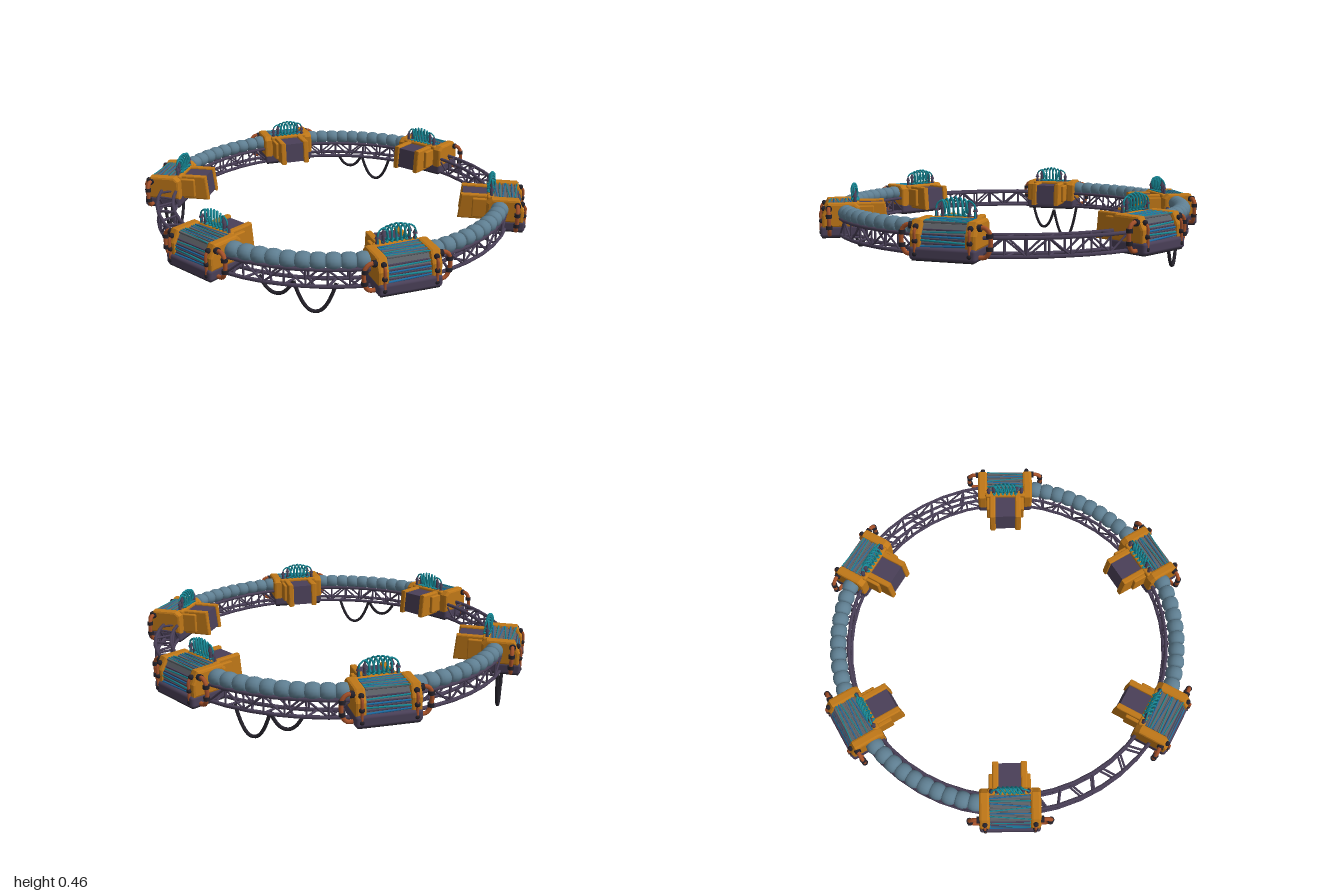
import * as THREE from 'three';
import { RoundedBoxGeometry } from 'three/addons/geometries/RoundedBoxGeometry.js';

const mat = (color) => new THREE.MeshStandardMaterial({ color });
const M = {
  orange: mat(0xc07818), purple: mat(0x4a4058), dark: mat(0x25222b), grey: mat(0x5e6268),
  pod: mat(0x5f7f92), teal: mat(0x178a98), blue: mat(0x1c6ea8), rust: mat(0xa8522a),
};
const V = (x, y, z) => new THREE.Vector3(x, y, z);
const rad = THREE.MathUtils.degToRad;
// point on the ring: angle in degrees from the front, radius, height
const polar = (a, r, y) => V(r * Math.sin(rad(a)), y, r * Math.cos(rad(a)));

function add(parent, name, geo, material, x = 0, y = 0, z = 0) {
  const m = new THREE.Mesh(geo, material);
  m.name = name;
  m.position.set(x, y, z);
  parent.add(m);
  return m;
}
const box = (w, h, d, r = 0.01) => new RoundedBoxGeometry(w, h, d, 2, r);

function rod(parent, name, a, b, r, material, sides = 6) {
  const m = add(parent, name, new THREE.CylinderGeometry(r, r, a.distanceTo(b), sides), material);
  m.position.copy(a).lerp(b, 0.5);
  m.quaternion.setFromUnitVectors(V(0, 1, 0), b.clone().sub(a).normalize());
}
function tube(parent, name, pts, r, material, seg = 24) {
  add(parent, name, new THREE.TubeGeometry(new THREE.CatmullRomCurve3(pts), seg, r, 7), material);
}
// (z, y) profile extruded along x, with a soft bevel
function slab(parent, name, profile, width, x, material, bevel = 0.008) {
  const g = new THREE.ExtrudeGeometry(new THREE.Shape(profile.map(([z, y]) => new THREE.Vector2(z, y))), {
    depth: width - 2 * bevel, bevelEnabled: true, bevelSize: bevel, bevelThickness: bevel,
    bevelOffset: -bevel, bevelSegments: 2,
  });
  g.rotateY(-Math.PI / 2);
  g.translate(width / 2 - bevel, 0, 0);
  add(parent, name, g, material, x);
}

// One station of the ring, built at the front and facing outward (+z)
function station() {
  const g = new THREE.Group();
  g.name = 'station';

  // base and underside
  add(g, 'base', box(0.3, 0.056, 0.195, 0.014), M.purple, 0, 0.233, 0.897);
  add(g, 'basePlate', box(0.28, 0.014, 0.18, 0.004), M.dark, 0, 0.207, 0.897);

  // housing: end caps, inner wall and recessed core
  const cap = [[0.8, 0.25], [0.985, 0.25], [0.985, 0.315], [0.955, 0.372], [0.825, 0.372], [0.8, 0.35]];
  const core = [[0.81, 0.22], [0.982, 0.22], [0.972, 0.31], [0.945, 0.355], [0.82, 0.36]];
  for (const s of [-1, 1]) slab(g, 'housingEnd', cap, 0.052, s * 0.124, M.orange, 0.012);
  slab(g, 'housingCore', core, 0.22, 0, M.grey, 0.004);
  add(g, 'innerWall', box(0.22, 0.118, 0.035), M.orange, 0, 0.311, 0.818);

  // slats and cables across the roof and the outer face
  for (let i = 0; i < 6; i++) {
    add(g, 'roofSlat', box(0.196, 0.01, 0.013, 0.003), M.grey, 0, 0.362, 0.846 + i * 0.02);
    const z = 0.845 + i * 0.02, t = (i % 3 - 1) * 0.008;
    rod(g, 'roofCable', V(-0.1, 0.367, z - t), V(0.1, 0.367, z + t), 0.003, i % 2 ? M.teal : M.blue);
  }
  for (let i = 0; i < 6; i++) {
    const y = 0.228 + i * 0.019, z = i < 5 ? 0.984 - i * 0.003 : 0.962;
    const t = (i % 3 - 1) * 0.004;
    rod(g, 'faceCable', V(-0.1, y - t, z), V(0.1, y + t, z), 0.005, i % 2 ? M.teal : M.blue);
    add(g, 'faceSlat', box(0.19, 0.007, 0.008, 0.002), M.purple, 0, y + 0.009, z - 0.002);
  }

  // inward dock: two cheeks around a dark centre
  const cheek = [[0.82, 0.235], [0.66, 0.235], [0.672, 0.365], [0.82, 0.365]];
  const centre = [[0.82, 0.245], [0.668, 0.245], [0.68, 0.355], [0.82, 0.355]];
  slab(g, 'dockCentre', centre, 0.12, 0, M.purple, 0.003);
  for (const s of [-1, 1]) {
    slab(g, 'dockCheek', cheek, 0.032, s * 0.07, M.orange, 0.007);
    add(g, 'dockShoulder', box(0.025, 0.1, 0.08, 0.006), M.orange, s * 0.09, 0.3, 0.77);
  }

  for (const s of [-1, 1]) {
    // looped side pipe with collars
    tube(g, 'sidePipe', [V(s * 0.135, 0.345, 0.95), V(s * 0.175, 0.347, 0.95), V(s * 0.197, 0.325, 0.95),
      V(s * 0.197, 0.255, 0.95), V(s * 0.178, 0.225, 0.95), V(s * 0.14, 0.222, 0.95)], 0.01, M.rust);
    for (const y of [0.315, 0.26])
      add(g, 'pipeCollar', new THREE.CylinderGeometry(0.015, 0.015, 0.018, 10), M.dark, s * 0.197, y, 0.95);
    rod(g, 'pipeSocket', V(s * 0.145, 0.346, 0.95), V(s * 0.162, 0.346, 0.95), 0.016, M.dark, 10);

    // upright pipe and knobs on the outer face
    tube(g, 'facePipe', [V(s * 0.122, 0.35, 0.965), V(s * 0.122, 0.33, 0.988), V(s * 0.122, 0.29, 0.99),
      V(s * 0.122, 0.235, 0.99)], 0.007, M.rust, 14);
    for (const [y, z] of [[0.345, 0.974], [0.285, 0.987], [0.23, 0.987]])
      add(g, 'knob', new THREE.SphereGeometry(0.013, 10, 8), M.dark, s * 0.122, y, z);

    // antenna posts on the roof
    for (const [x, h] of [[0.062, 0.045], [0.09, 0.03]]) {
      add(g, 'post', new THREE.CylinderGeometry(0.006, 0.009, h, 8), M.purple, s * x, 0.37 + h / 2, 0.822);
      add(g, 'postTip', new THREE.ConeGeometry(0.012, 0.03, 8), M.purple, s * x, 0.38 + h, 0.822);
    }
    tube(g, 'sideCoil', [V(s * 0.09, 0.37, 0.828), V(s * 0.085, 0.425, 0.825), V(s * 0.055, 0.44, 0.82),
      V(s * 0.035, 0.37, 0.815)], 0.004, M.teal);
  }

  // tangled coil along the inner roof edge
  const coil = [];
  for (let i = 0; i <= 48; i++) {
    const t = i / 48, a = t * Math.PI * 12;
    coil.push(V(-0.062 + 0.124 * t + 0.01 * Math.sin(a), 0.415 + 0.04 * Math.cos(a) * (0.6 + 0.4 * Math.sin(Math.PI * t)), 0.822 + 0.014 * Math.sin(a)));
  }
  tube(g, 'coil', coil, 0.0045, M.teal, 160);
  const zig = [];
  for (let i = 0; i <= 12; i++) zig.push(V(-0.07 + i * 0.0117, 0.377, i % 2 ? 0.802 : 0.836));
  tube(g, 'zigzagCable', zig, 0.004, M.teal, 72);
  return g;
}

// Lattice bars of one arc between two stations
function lattice(a0) {
  const g = new THREE.Group();
  g.name = 'lattice';
  const bays = 7, R = [0.832, 0.91], Y = [0.217, 0.297];
  for (let i = 0; i < bays; i++) {
    const a = a0 + 9 + i * 6, b = a + 6, f = i % 2;
    for (const r of R) {
      rod(g, 'diagonal', polar(a, r, Y[f]), polar(b, r, Y[1 - f]), 0.005, M.purple);
      rod(g, 'upright', polar(a, r, Y[0]), polar(a, r, Y[1]), 0.005, M.purple);
    }
    for (const y of Y) rod(g, 'crossBar', polar(a, R[f], y), polar(a + 2.5, R[1 - f], y), 0.006, M.purple);
  }
  return g;
}

// Row of barrel-shaped pods on top of one arc
function podRow(a0) {
  const g = new THREE.Group();
  g.name = 'podRow';
  const profile = [[0, -0.034], [0.028, -0.034], [0.038, -0.025], [0.043, -0.008], [0.043, 0.008],
    [0.038, 0.025], [0.028, 0.034], [0, 0.034]].map(([x, y]) => new THREE.Vector2(x, y));
  const geo = new THREE.LatheGeometry(profile, 16);
  geo.rotateZ(Math.PI / 2);
  for (let i = 0; i < 10; i++) {
    const a = a0 + 11 + i * 38 / 9;
    const m = add(g, 'pod', geo, M.pod);
    m.position.copy(polar(a, 0.88, 0.326));
    m.scale.y = 0.9;
    m.rotation.y = rad(a);
  }
  return g;
}

// Cable hanging in one loop between two ring angles
function hangingCable(parent, a0, a1, r, top0, top1, low) {
  const pts = [];
  for (let i = 0; i <= 10; i++) {
    const t = i / 10, u = 2 * t - 1, top = u < 0 ? top0 : top1;
    pts.push(polar(a0 + (a1 - a0) * t, r, low + (top - low) * Math.pow(Math.abs(u), 2.2)));
  }
  tube(parent, 'hangingCable', pts, 0.0085, M.dark, 30);
}

export function createModel() {
  const model = new THREE.Group();
  model.name = 'ringStation';

  // four continuous rails
  for (const r of [0.832, 0.91]) for (const y of [0.217, 0.297]) {
    const g = new THREE.TorusGeometry(r, 0.009, 6, 48);
    g.rotateX(Math.PI / 2);
    add(model, 'rail', g, M.purple, 0, y, 0);
  }

  // stations and arcs; the two side arcs stay bare
  for (let k = 0; k < 6; k++) {
    const s = station();
    s.rotation.y = rad(60 * k);
    model.add(s, lattice(60 * k));
    if (k % 3 !== 1) model.add(podRow(60 * k));
  }

  // slack cables under the ring
  hangingCable(model, 248.5, 240, 0.9, 0.21, 0.18, 0.068);
  hangingCable(model, 240, 230.4, 0.9, 0.18, 0.21, 0.0085);
  hangingCable(model, -42, -31, 0.855, 0.215, 0.215, 0.138);
  hangingCable(model, -31, -18.5, 0.865, 0.215, 0.215, 0.07);
  hangingCable(model, 136, 148, 0.865, 0.215, 0.215, 0.07);
  hangingCable(model, 148, 158, 0.88, 0.215, 0.215, 0.138);
  return model;
}
